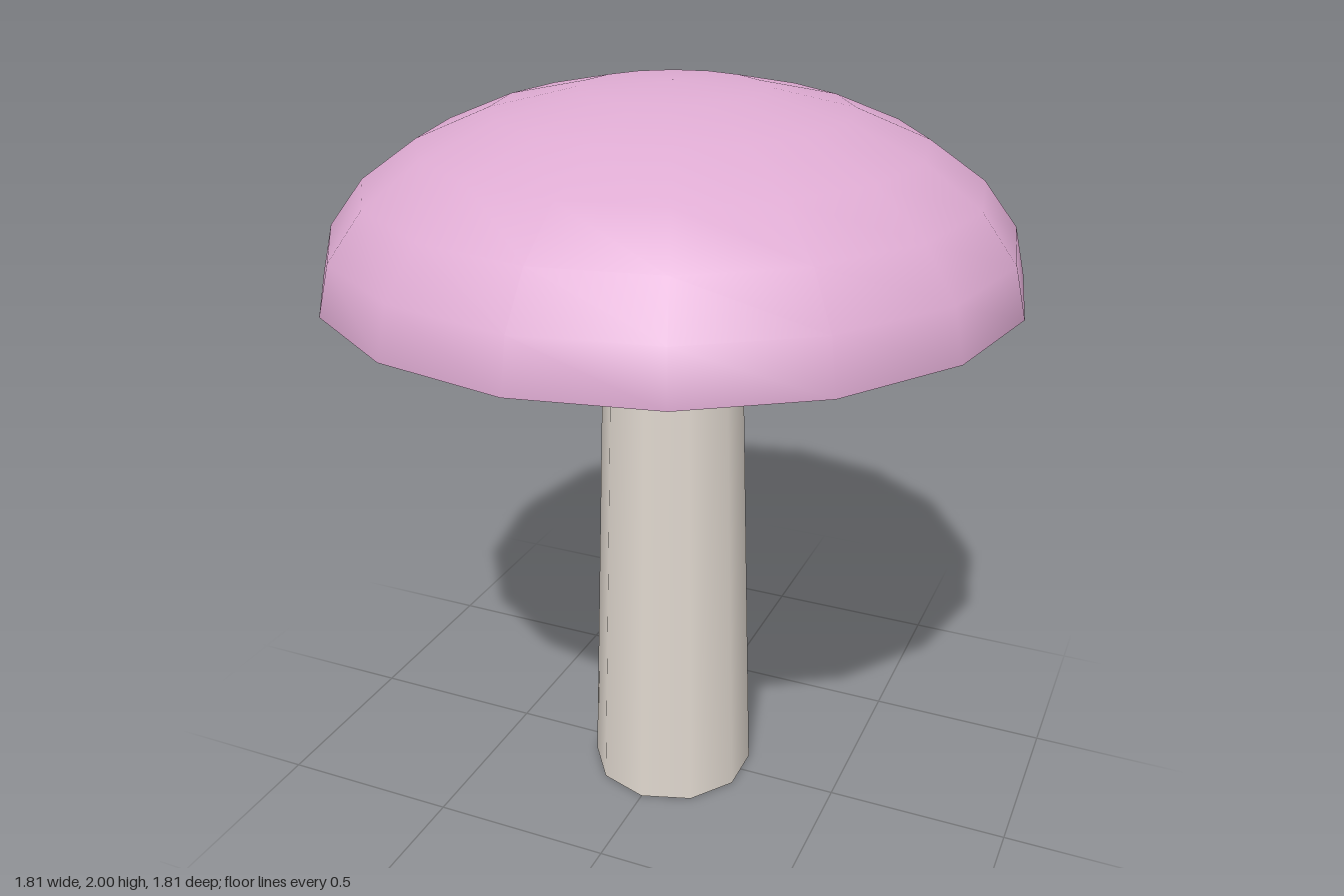
import * as THREE from 'three';

export function createModel() {
  const model = new THREE.Group();
  model.name = 'mushroom';

  const pink = new THREE.MeshStandardMaterial({ color: 0xdeabd2 });
  pink.name = 'cap pink';
  const cream = new THREE.MeshStandardMaterial({ color: 0xded6cd });
  cream.name = 'stem cream';

  const capRadius = 0.905, capHeight = 0.495, capBase = 1.505, capSides = 16;

  const add = (name, geometry, material, y) => {
    const mesh = new THREE.Mesh(geometry, material);
    mesh.name = name;
    mesh.position.y = y;
    model.add(mesh);
    return mesh;
  };

  // Tapered ten-sided stem, smooth around its side
  add('stem', new THREE.CylinderGeometry(0.18, 0.23, capBase, 10), cream, capBase / 2);

  // Flattened half-sphere cap
  const dome = new THREE.SphereGeometry(capRadius, capSides, 6, 0, Math.PI * 2, 0, Math.PI / 2);
  dome.scale(1, capHeight / capRadius, 1);
  add('cap', dome, pink, capBase);

  // Flat underside closing the cap
  const disc = new THREE.CircleGeometry(capRadius, capSides);
  disc.rotateX(Math.PI / 2);
  add('capUnderside', disc, pink, capBase);

  return model;
}
